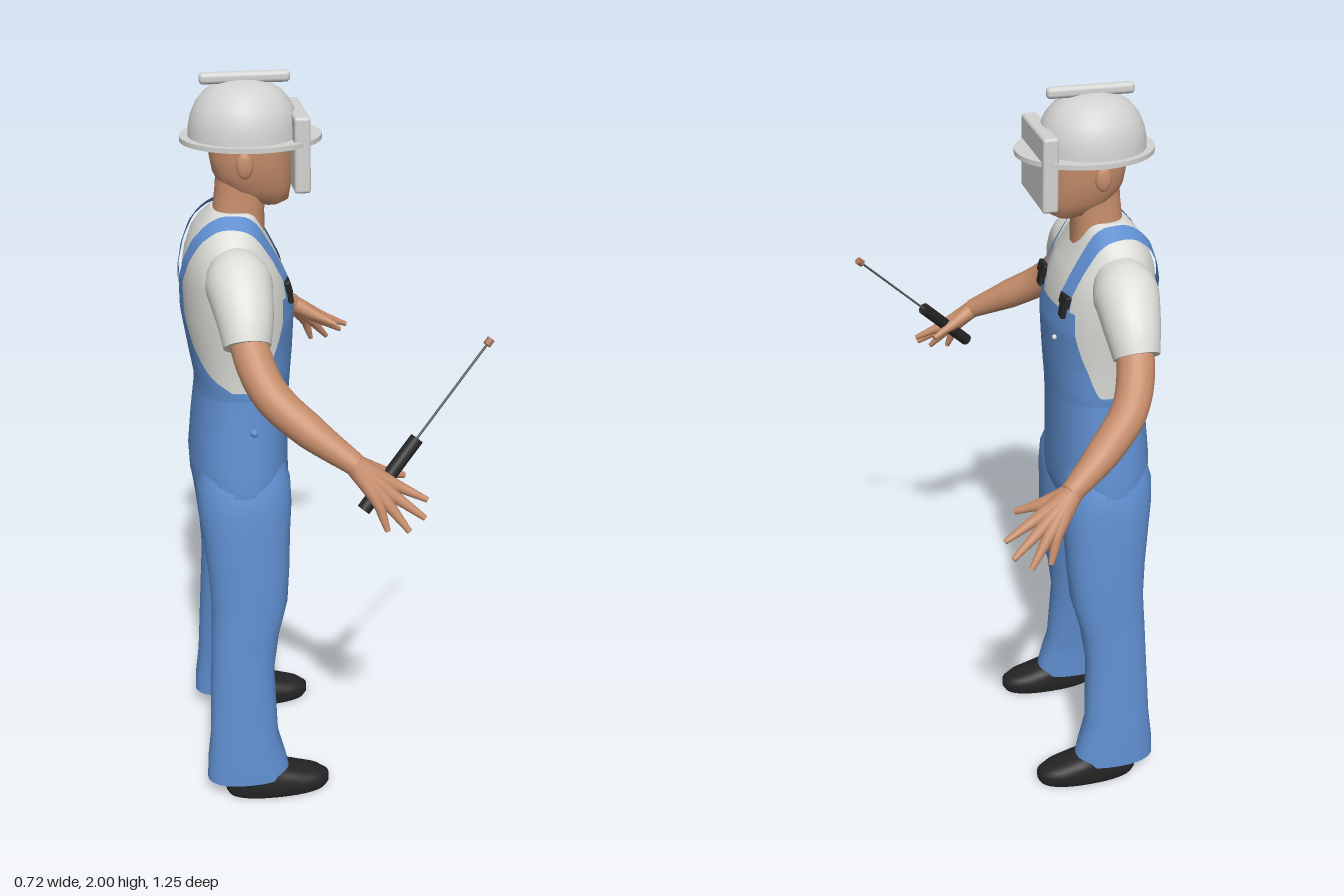
import * as THREE from 'three';
import { RoundedBoxGeometry } from 'three/addons/geometries/RoundedBoxGeometry.js';

const mat = (name, color, side = THREE.FrontSide) => {
  const m = new THREE.MeshStandardMaterial({ color, side });
  m.name = name;
  return m;
};
const V = (x, y, z) => new THREE.Vector3(x, y, z);
const { lerp } = THREE.MathUtils;

// Linear lookup in rows sorted by their first number
function at(rows, y) {
  let i = 0;
  while (i < rows.length - 2 && rows[i + 1][0] < y) i++;
  const a = rows[i], b = rows[i + 1];
  const t = THREE.MathUtils.clamp((y - a[0]) / (b[0] - a[0]), 0, 1);
  return a.map((v, k) => lerp(v, b[k], t));
}

// Surface through rows of points; each row is an array of Vector3
function skin(rows, closed) {
  const n = rows[0].length, index = [];
  for (let i = 0; i < rows.length - 1; i++) {
    for (let j = 0; j < (closed ? n : n - 1); j++) {
      const k = (j + 1) % n, a = i * n + j, b = i * n + k;
      index.push(a, a + n, b, b, a + n, b + n);
    }
  }
  const g = new THREE.BufferGeometry().setFromPoints(rows.flat());
  g.setIndex(index);
  g.computeVertexNormals();
  return g;
}

// Close both ends, with doubled rows so that the rims stay crisp
function capped(rows) {
  const copy = (r) => r.map((p) => p.clone());
  const mid = (r) => {
    const c = r.reduce((s, p) => s.add(p), V(0, 0, 0)).divideScalar(r.length);
    return r.map(() => c.clone());
  };
  const first = rows[0], last = rows[rows.length - 1];
  return skin([mid(first), copy(first), ...rows, copy(last), mid(last)], true);
}

// Point on a horizontal section [y, xBack, xFront, halfDepth, zCentre]
const EXP = 2.3;
const bend = (v) => Math.sign(v) * Math.abs(v) ** (2 / EXP);
const section = ([y, xb, xf, rz, cz = 0], a, off = 0) => V(
  (xb + xf) / 2 + ((xf - xb) / 2 + off) * bend(Math.cos(a)), y, cz + (rz + off) * bend(Math.sin(a)));
const loft = (rows, n = 40) => capped(rows.map((r) =>
  Array.from({ length: n }, (_, j) => section(r, (j / n) * Math.PI * 2))));

// Tapered tube through [x, y, z, radius] points, mirrored by s
function limb(pts, s = 1, steps = 16, n = 16) {
  const curve = new THREE.CatmullRomCurve3(pts.map((p) => V(p[0], p[1], p[2] * s)));
  const f = curve.computeFrenetFrames(steps);
  const rows = [];
  for (let i = 0; i <= steps; i++) {
    const t = i / steps, c = curve.getPoint(t);
    const r = at(pts.map((p, k) => [k / (pts.length - 1), p[3]]), t)[1];
    rows.push(Array.from({ length: n }, (_, j) => {
      const a = (-j / n) * Math.PI * 2;
      return c.clone().addScaledVector(f.normals[i], r * Math.cos(a)).addScaledVector(f.binormals[i], r * Math.sin(a));
    }));
  }
  return capped(rows);
}

const TORSO = [
  [1.15, -0.325, -0.095, 0.155], [1.22, -0.325, -0.09, 0.162], [1.3, -0.338, -0.083, 0.163],
  [1.4, -0.353, -0.078, 0.18], [1.5, -0.353, -0.092, 0.19], [1.55, -0.345, -0.115, 0.185],
  [1.6, -0.328, -0.14, 0.165], [1.63, -0.308, -0.153, 0.135], [1.655, -0.287, -0.163, 0.095],
  [1.665, -0.275, -0.168, 0.07]];
const PELVIS = [
  [0.875, -0.3, -0.14, 0.05], [0.9, -0.345, -0.095, 0.2], [0.94, -0.353, -0.09, 0.205],
  [1.0, -0.355, -0.09, 0.195], [1.1, -0.345, -0.088, 0.18], [1.2, -0.332, -0.084, 0.168], [1.22, -0.333, -0.083, 0.168]];
// y, xBack, xFront, zInner, zOuter
const LEG = [
  [0.06, -0.353, -0.118, 0.153, 0.28], [0.12, -0.35, -0.13, 0.152, 0.277], [0.2, -0.34, -0.15, 0.15, 0.27],
  [0.4, -0.33, -0.155, 0.12, 0.25], [0.5, -0.325, -0.14, 0.105, 0.243], [0.6, -0.32, -0.113, 0.085, 0.236],
  [0.7, -0.325, -0.105, 0.06, 0.23], [0.8, -0.335, -0.1, 0.033, 0.222], [0.88, -0.345, -0.093, 0.003, 0.214],
  [0.95, -0.345, -0.095, 0.0, 0.202], [1.0, -0.33, -0.11, 0.02, 0.175]];
const SHOE = [
  [0, -0.295, -0.015, 0.05], [0.015, -0.302, -0.006, 0.057], [0.035, -0.3, -0.006, 0.057],
  [0.05, -0.297, -0.025, 0.055], [0.066, -0.292, -0.075, 0.051], [0.085, -0.285, -0.14, 0.046], [0.12, -0.28, -0.17, 0.042]];
const HEAD = [
  [1.672, -0.15, -0.1, 0.025], [1.685, -0.19, -0.078, 0.048], [1.72, -0.25, -0.072, 0.068], [1.76, -0.268, -0.07, 0.078],
  [1.8, -0.275, -0.07, 0.083], [1.86, -0.275, -0.07, 0.085]];
const NECK = [[1.6, -0.285, -0.14, 0.07], [1.66, -0.27, -0.14, 0.063], [1.72, -0.262, -0.13, 0.062], [1.75, -0.26, -0.13, 0.06]];

// Cloth panel lying on the torso; widths are [y, halfWidth]
function panel(widths, facing) {
  const rows = [], y0 = widths[0][0], y1 = widths[widths.length - 1][0];
  for (let i = 0; i <= 24; i++) {
    const r = at(TORSO, lerp(y0, y1, i / 24));
    const half = Math.asin(Math.min(1, at(widths, r[0])[1] / r[3]) ** (EXP / 2));
    rows.push(Array.from({ length: 25 }, (_, j) => section(r, facing + half * (j / 12 - 1), 0.008)));
  }
  return skin(rows, false);
}

// Point on the torso at a given z, seen at an angle from the chest centre
function onTorso(phi, z, off) {
  const p = (r) => V(-0.215 + r * Math.cos(phi), 1.42 + r * Math.sin(phi), z);
  let lo = 0, hi = 0.4;
  for (let i = 0; i < 24; i++) {
    const m = (lo + hi) / 2, q = p(m), [, xb, xf, rz] = at(TORSO, q.y);
    const d = Math.abs((q.x - (xb + xf) / 2) / ((xf - xb) / 2)) ** EXP + Math.abs(z / rz) ** EXP;
    if (q.y < 1.665 && d < 1) lo = m; else hi = m;
  }
  return p(lo + off);
}
const STRAP = [[0.2, 0.105], [1.57, 0.112], [2.0, 0.1], [2.8, 0.04]];
function strap(s) {
  const rows = [];
  for (let i = 0; i <= 40; i++) {
    const phi = lerp(0.2, 2.8, i / 40), z = at(STRAP, phi)[1];
    rows.push([-0.02, 0, 0.02].map((w) => onTorso(phi, s * (z + w), 0.011)));
  }
  return skin(rows, false);
}

export function createModel() {
  const model = new THREE.Group();
  const denim = mat('denim blue', 0x5f8ecf, THREE.DoubleSide);
  const shirt = mat('shirt white', 0xdcdcd8);
  const shell = mat('helmet grey', 0xd2d2d0);
  const skinTone = mat('skin', 0xc68d6b);
  const black = mat('black', 0x242424);
  const steel = mat('steel', 0x5c5c5c);
  const copper = mat('copper', 0xa8765c);
  const add = (name, geo, m, x = 0, y = 0, z = 0) => {
    const mesh = new THREE.Mesh(geo, m);
    mesh.name = name;
    mesh.position.set(x, y, z);
    model.add(mesh);
    return mesh;
  };

  // Clothes on the trunk
  add('shirtBody', loft(TORSO), shirt);
  add('trouserSeat', loft(PELVIS), denim);
  add('bibFront', panel([[1.18, 0.17], [1.23, 0.159], [1.3, 0.15], [1.4, 0.14], [1.46, 0.135]], 0), denim);
  add('bibBack', panel([[1.18, 0.17], [1.23, 0.155], [1.27, 0.12], [1.33, 0.085], [1.42, 0.064], [1.5, 0.06]], Math.PI), denim);
  add('bibButton', new THREE.SphereGeometry(0.007, 10, 8), shirt, -0.078, 1.375, -0.08);

  // Head and helmet
  add('neck', loft(NECK), skinTone);
  add('head', loft(HEAD), skinTone);
  add('nose', new THREE.SphereGeometry(0.016, 12, 10), skinTone, -0.07, 1.77, 0).scale.set(0.8, 1.4, 0.8);
  const dome = [[1, 0], [0.985, 0.2], [0.94, 0.4], [0.85, 0.6], [0.7, 0.78], [0.5, 0.91], [0.25, 0.98], [0, 1]];
  add('helmetDome', new THREE.LatheGeometry(dome.map(([r, y]) => new THREE.Vector2(r, y)), 48), shell, -0.187, 1.845, 0)
    .scale.set(0.138, 0.138, 0.128);
  add('helmetBrim', new THREE.CylinderGeometry(1, 1, 0.012, 48), shell, -0.17, 1.842, 0).scale.set(0.176, 1, 0.147);
  add('helmetCrest', new RoundedBoxGeometry(0.222, 0.028, 0.026, 4, 0.011), shell, -0.182, 1.986, 0);
  add('visor', new RoundedBoxGeometry(0.04, 0.187, 0.222, 4, 0.008), shell, -0.056, 1.815, 0);

  // Paired parts
  const wrist = [0.0, 1.192, 0.537, 0.026];
  const fingers = [
    ['thumb', [0.065, 1.158, 0.515, 0.017], [0.13, 1.13, 0.49, 0.008]],
    ['indexFinger', [0.095, 1.138, 0.55, 0.015], [0.172, 1.1, 0.568, 0.007]],
    ['middleFinger', [0.09, 1.12, 0.573, 0.015], [0.16, 1.07, 0.602, 0.007]],
    ['ringFinger', [0.072, 1.108, 0.586, 0.015], [0.12, 1.045, 0.616, 0.007]],
    ['littleFinger', [0.05, 1.11, 0.586, 0.014], [0.07, 1.045, 0.606, 0.007]]];
  for (const s of [1, -1]) {
    add('trouserLeg', loft(LEG.map(([y, xb, xf, zi, zo]) => [y, xb, xf, (zo - zi) / 2, s * (zi + zo) / 2])), denim);
    add('shoe', loft(SHOE.map((r) => [...r, s * 0.219])), black);
    add('sleeve', limb([[-0.23, 1.54, 0.11, 0.065], [-0.227, 1.526, 0.195, 0.083], [-0.222, 1.472, 0.268, 0.071],
      [-0.222, 1.412, 0.313, 0.058]], s, 20, 24), shirt);
    add('arm', limb([[-0.222, 1.45, 0.28, 0.047], [-0.21, 1.385, 0.345, 0.047], [-0.175, 1.32, 0.41, 0.046],
      [-0.095, 1.255, 0.475, 0.042], [0.005, 1.19, 0.538, 0.027]], s, 24, 20), skinTone);
    for (const [name, knuckle, tip] of fingers) {
      const joint = knuckle.map((v, k) => lerp(v, tip[k], 0.5));
      joint[3] = 0.011;
      add(name, limb([wrist, knuckle, joint, tip], s, 12, 10), skinTone);
    }
    add('ear', new THREE.SphereGeometry(0.03, 14, 10), skinTone, -0.195, 1.79, s * 0.086).scale.set(0.7, 1.1, 0.35);
    add('strap', strap(s), denim);
    const b = onTorso(0.52, s * 0.107, 0.012);
    add('buckle', new RoundedBoxGeometry(0.016, 0.032, 0.054, 2, 0.005), black, b.x, b.y, b.z).rotation.z = 0.25;
    const c = onTorso(0.3, s * 0.107, 0.014);
    add('buckleHook', new RoundedBoxGeometry(0.014, 0.034, 0.032, 2, 0.005), black, c.x, c.y, c.z).rotation.z = 0.15;
    add('hipButton', new THREE.SphereGeometry(0.011, 12, 8), denim, -0.195, 1.115, s * 0.178);
  }

  // Rod held in the right hand
  const from = V(0.02, 1.08, 0.557), to = V(0.35, 1.43, 0.405);
  const rodPart = (name, t0, t1, r, m) => {
    const a = from.clone().lerp(to, t0), b = from.clone().lerp(to, t1), d = b.clone().sub(a);
    const mid = a.clone().add(b).divideScalar(2);
    add(name, new THREE.CylinderGeometry(r, r, d.length(), 14), m, mid.x, mid.y, mid.z)
      .quaternion.setFromUnitVectors(V(0, 1, 0), d.normalize());
  };
  rodPart('rodHandle', 0, 0.42, 0.017, black);
  rodPart('rod', 0.4, 0.99, 0.003, steel);
  rodPart('rodTip', 0.975, 1.01, 0.01, copper);
  return model;
}
